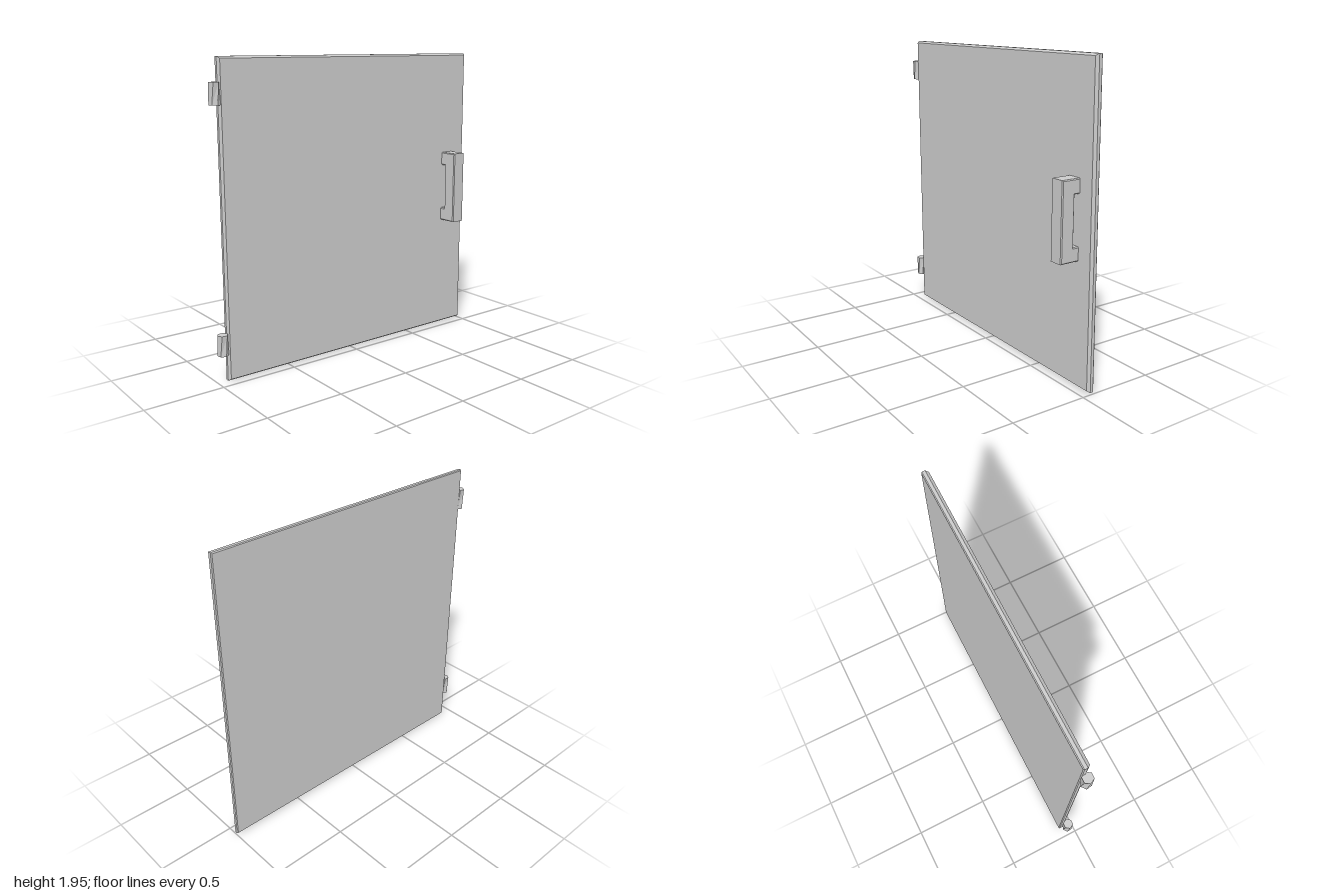
import * as THREE from 'three';

const material = () => new THREE.MeshStandardMaterial({ color: 0xcccccc, flatShading: true });

function addMesh(parent, name, geometry) {
  const mesh = new THREE.Mesh(geometry, material());
  mesh.name = name;
  parent.add(mesh);
  return mesh;
}

// Rectangular slab lofted through layers of [z, halfWidth, halfHeight], back to front
function layeredSlab(layers) {
  const positions = layers.flatMap(([z, w, h]) => [-w, -h, z, w, -h, z, w, h, z, -w, h, z]);
  const index = [0, 2, 1, 0, 3, 2];
  for (let l = 0; l < layers.length - 1; l++) {
    for (let i = 0; i < 4; i++) {
      const a = l * 4 + i, b = l * 4 + (i + 1) % 4;
      index.push(a, b, b + 4, a, b + 4, a + 4);
    }
  }
  const f = (layers.length - 1) * 4;
  index.push(f, f + 1, f + 2, f, f + 2, f + 3);
  const geometry = new THREE.BufferGeometry();
  geometry.setAttribute('position', new THREE.Float32BufferAttribute(positions, 3));
  geometry.setIndex(index);
  const flat = geometry.toNonIndexed();
  flat.computeVertexNormals();
  return flat;
}

// U-shaped pull drawn in depth and height, extruded across its width
function handleGeometry() {
  const bevel = 0.006, width = 0.095;
  const front = 0.09 - bevel, back = -0.05, grip = bevel;
  const low = 0.785 + bevel, high = 1.27 - bevel;
  const innerLow = 0.872 - bevel, innerHigh = 1.18 + bevel;
  const outline = [
    [back, low], [front, low], [front, high], [back, high],
    [back, innerHigh], [grip, innerHigh], [grip, innerLow], [back, innerLow],
  ];
  const shape = new THREE.Shape(outline.map(([z, y]) => new THREE.Vector2(z, y)));
  const geometry = new THREE.ExtrudeGeometry(shape, {
    depth: width - 2 * bevel, bevelEnabled: true,
    bevelSize: bevel, bevelThickness: bevel, bevelSegments: 1,
  });
  geometry.translate(0, 0, -(width - 2 * bevel) / 2);
  geometry.rotateY(-Math.PI / 2); // outline depth becomes +z
  return geometry;
}

// Six-sided hinge barrel with a slight twist along its height
function hingeGeometry() {
  const height = 0.13;
  const geometry = new THREE.CylinderGeometry(0.034, 0.034, height, 6);
  const p = geometry.attributes.position;
  for (let i = 0; i < p.count; i++) {
    const angle = 0.3 + (p.getY(i) / height) * 0.35;
    const x = p.getX(i), z = p.getZ(i);
    p.setX(i, x * Math.cos(angle) + z * Math.sin(angle));
    p.setZ(i, z * Math.cos(angle) - x * Math.sin(angle));
  }
  geometry.computeVertexNormals();
  return geometry;
}

export function createModel() {
  const group = new THREE.Group();
  group.name = 'cabinetDoor';

  // Door panel: bevelled front rim, hung very slightly askew
  const panel = addMesh(group, 'doorPanel', layeredSlab([
    [-0.022, 0.960, 0.966],
    [-0.016, 0.965, 0.971],
    [0.004, 0.965, 0.971],
    [0.022, 0.953, 0.959],
  ]));
  panel.position.set(0.027, 0.977, -0.063);
  panel.rotation.set(0.004, -0.0065, 0.0055);

  // Pull handle
  addMesh(group, 'pullHandle', handleGeometry()).position.x = 0.832;

  // Hinges on the opposite edge
  for (const [name, y] of [['upperHinge', 1.735], ['lowerHinge', 0.24]]) {
    addMesh(group, name, hingeGeometry()).position.set(-0.965, y, -0.06);
  }

  return group;
}
